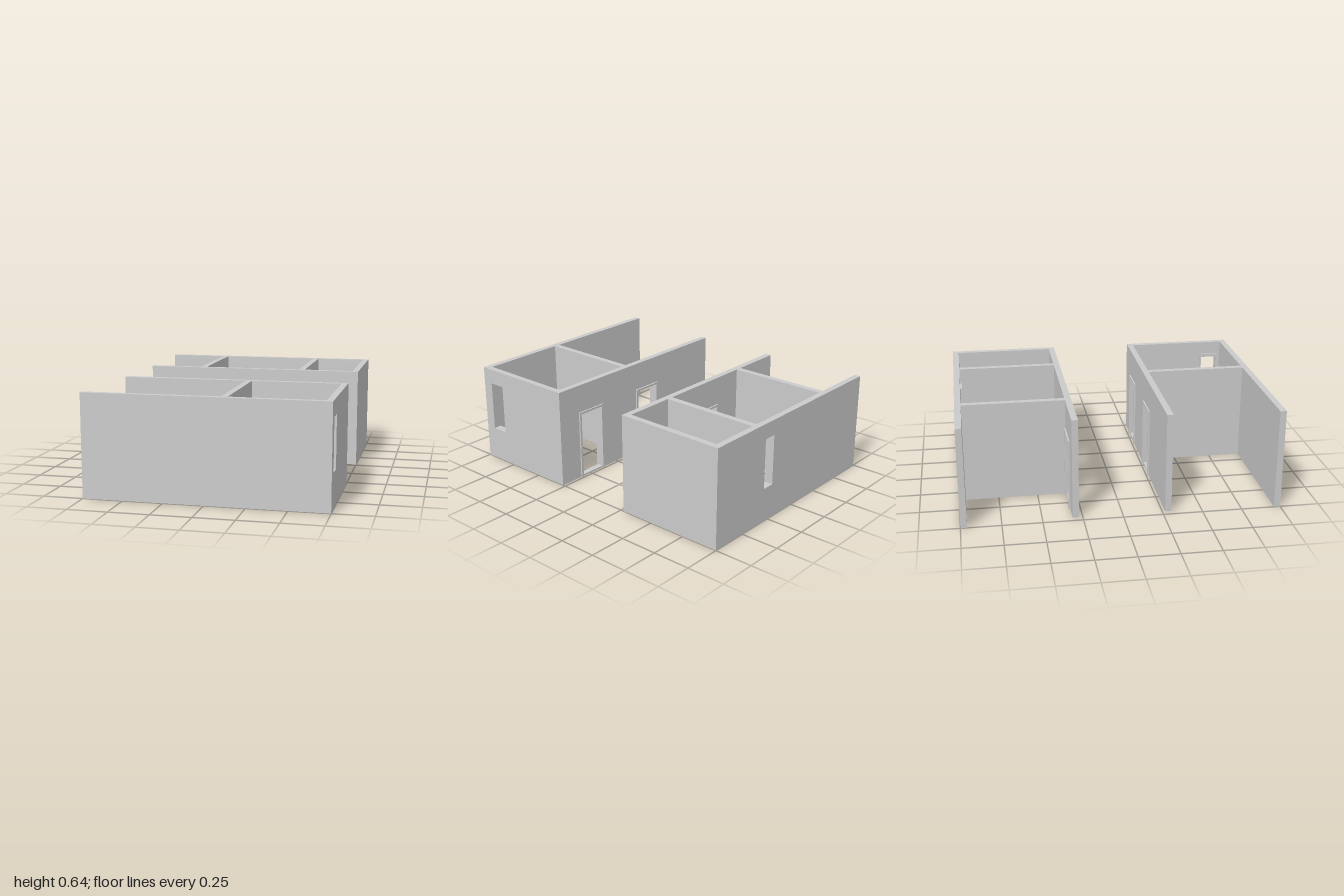
import * as THREE from 'three';

const H = 0.645, TRIM = 0.014;

function rect(Type, u0, u1, y0, y1) {
  const p = new Type();
  p.moveTo(u0, y0);
  p.lineTo(u1, y0);
  p.lineTo(u1, y1);
  p.lineTo(u0, y1);
  p.closePath();
  return p;
}

export function createModel() {
  const model = new THREE.Group();
  const material = new THREE.MeshStandardMaterial({ color: 0xcccccc });

  // Upright slab with openings [from, to, bottom, top]; runs along x, or along z when alongZ
  function slab(name, parent, [a0, a1, y0, y1], [d0, d1], holes = [], alongZ = false) {
    const span = (p, q) => (alongZ ? [-q, -p] : [p, q]);
    const shape = rect(THREE.Shape, ...span(a0, a1), y0, y1);
    for (const [p, q, b, t] of holes) shape.holes.push(rect(THREE.Path, ...span(p, q), b, t));
    const geo = new THREE.ExtrudeGeometry(shape, { depth: d1 - d0, bevelEnabled: false });
    geo.translate(0, 0, d0);
    if (alongZ) geo.rotateY(Math.PI / 2);
    const mesh = new THREE.Mesh(geo, material);
    mesh.name = name;
    parent.add(mesh);
  }

  // Door lining standing slightly proud of both wall faces
  function doorFrame(parent, [x0, x1, , top], [z0, z1]) {
    const frame = new THREE.Group();
    frame.name = 'doorFrame';
    parent.add(frame);
    const depth = [z0 - 0.01, z1 + 0.01];
    slab('leftJamb', frame, [x1 - TRIM, x1, 0, top - TRIM], depth);
    slab('rightJamb', frame, [x0, x0 + TRIM, 0, top - TRIM], depth);
    slab('doorHead', frame, [x0, x1, top - TRIM, top], depth);
  }

  // One row of rooms between an outer wall and a corridor wall
  function block(name, { outer, corridor, partitions, doors, backWindow, endWindow }) {
    const g = new THREE.Group();
    g.name = name;
    model.add(g);
    const zs = [...outer, ...corridor].sort((a, b) => a - b);
    const inside = [zs[1], zs[2]];
    slab('outerWall', g, [-0.75, 0.75, 0, H], outer, backWindow ? [backWindow] : []);
    // Openings start just above the ground, leaving a threshold
    const openings = doors.map(([a, b]) => [a, b, 0.01, 0.46]);
    slab('corridorWall', g, [-0.71, 0.75, 0, H], corridor, openings);
    openings.forEach((o) => doorFrame(g, o, corridor));
    slab('endWall', g, [...inside, 0, H], [0.71, 0.75], endWindow ? [endWindow] : [], true);
    for (const x of partitions) slab('partition', g, [...inside, 0, H], [x, x + 0.04], [], true);
    return g;
  }

  // Inside surround of a window, its head dropping a little into the opening
  function windowTrim(parent, [a, b, y0, y1], depth, alongZ) {
    slab('windowTrim', parent, [a - 0.011, b + 0.011, y0 - 0.011, y1 + 0.011], depth,
      [[a, b, y0, y1 - 0.01]], alongZ);
  }

  const backWindow = [0.21, 0.295, 0.22, 0.545];
  const back = block('backRooms', {
    outer: [-1, -0.96],
    corridor: [-0.313, -0.273],
    partitions: [-0.362, 0.338],
    doors: [[-0.587, -0.373], [-0.117, 0.095], [0.371, 0.585]],
    backWindow,
  });
  windowTrim(back, backWindow, [-0.96, -0.948], false);

  const endWindow = [0.82, 0.93, 0.22, 0.545];
  const front = block('frontRooms', {
    outer: [0.96, 1],
    corridor: [0.268, 0.308],
    partitions: [0.098],
    doors: [[-0.17, 0.043], [0.371, 0.585]],
    endWindow,
  });
  windowTrim(front, endWindow, [0.698, 0.71], true);

  return model;
}
